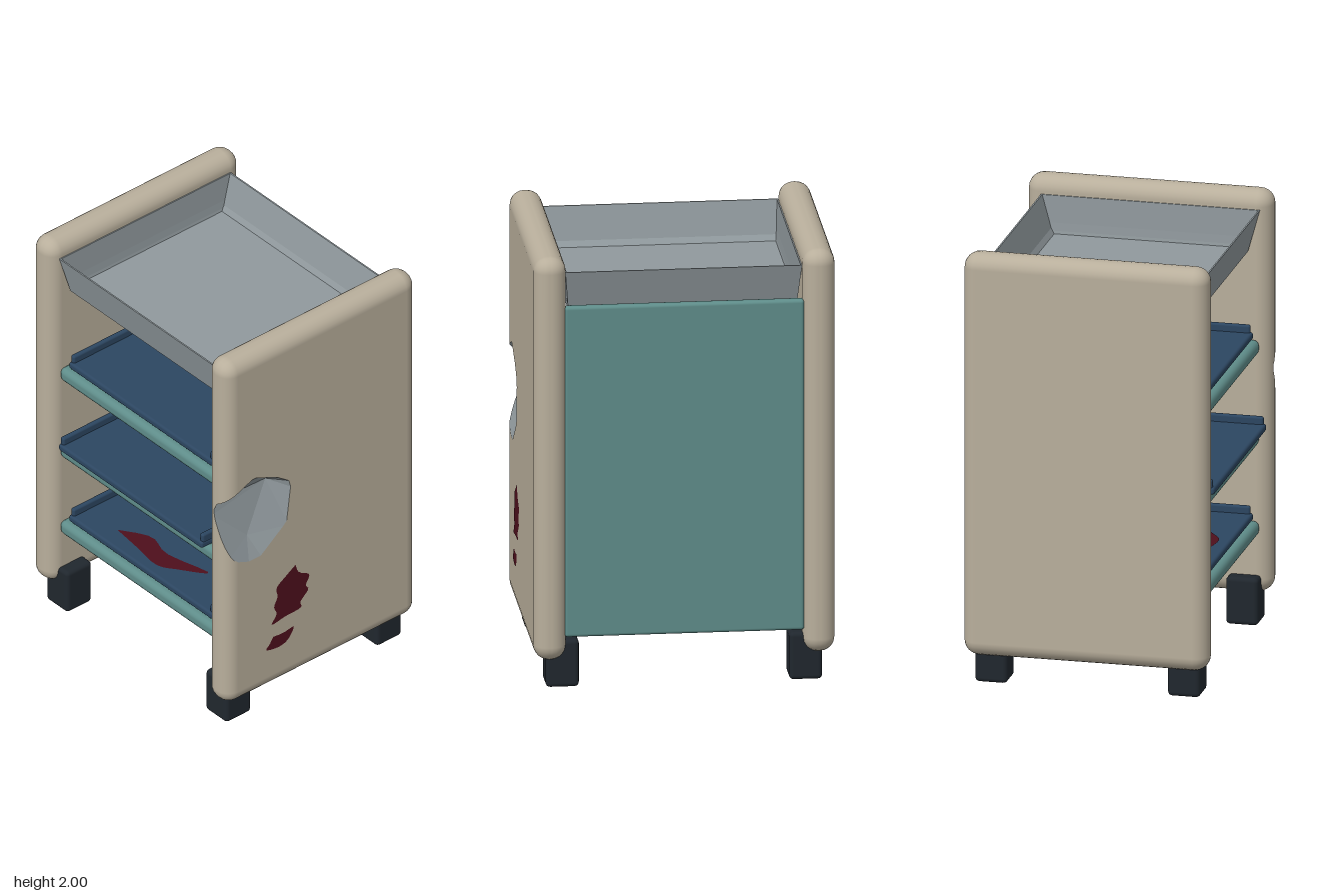
import * as THREE from 'three';
import { RoundedBoxGeometry } from 'three/addons/geometries/RoundedBoxGeometry.js';
import { ConvexGeometry } from 'three/addons/geometries/ConvexGeometry.js';

const mat = (color, extra = {}) => new THREE.MeshStandardMaterial({ color, ...extra });
const V = (x, y, z) => new THREE.Vector3(x, y, z);

// Polygon of {p, n} corners kept on one side of a plane
function clip(poly, plane, side) {
  const out = [];
  poly.forEach((a, i) => {
    const b = poly[(i + 1) % poly.length];
    const da = side * plane.distanceToPoint(a.p), db = side * plane.distanceToPoint(b.p);
    if (da >= 0) out.push(a);
    if ((da > 0 && db < 0) || (da < 0 && db > 0)) {
      const t = da / (da - db);
      out.push({ p: a.p.clone().lerp(b.p, t), n: a.n.clone().lerp(b.n, t).normalize() });
    }
  });
  return out;
}

function triangles(geometry) {
  const g = geometry.index ? geometry.toNonIndexed() : geometry;
  const { position, normal } = g.attributes, list = [];
  for (let i = 0; i < position.count; i += 3) {
    const tri = [0, 1, 2].map((k) => ({
      p: new THREE.Vector3().fromBufferAttribute(position, i + k),
      n: new THREE.Vector3().fromBufferAttribute(normal, i + k),
    }));
    const t = new THREE.Triangle(tri[0].p, tri[1].p, tri[2].p);
    if (t.getArea() < 1e-9) continue;
    const plane = t.getPlane(new THREE.Plane());
    list.push({ tri, plane });
  }
  return list;
}

function fromPolygons(polys) {
  const pos = [], nor = [];
  for (const poly of polys) {
    for (let i = 1; i + 1 < poly.length; i++) {
      for (const c of [poly[0], poly[i], poly[i + 1]]) {
        pos.push(...c.p.toArray());
        nor.push(...c.n.toArray());
      }
    }
  }
  const g = new THREE.BufferGeometry();
  g.setAttribute('position', new THREE.Float32BufferAttribute(pos, 3));
  g.setAttribute('normal', new THREE.Float32BufferAttribute(nor, 3));
  return g;
}

// Cut one convex solid out of another: the remaining skin and the cavity walls
function carve(solid, cutter) {
  const S = triangles(solid), C = triangles(cutter), skin = [], cavity = [];
  for (const { tri } of S) {
    let rest = tri;
    for (const { plane } of C) {
      const outer = clip(rest, plane, 1);
      if (outer.length > 2) skin.push(outer);
      rest = clip(rest, plane, -1);
      if (rest.length < 3) break;
    }
  }
  for (const { tri, plane } of C) {
    const n = plane.normal.clone().negate();
    let poly = tri.map(({ p }) => ({ p, n })).reverse();
    for (const s of S) {
      poly = clip(poly, s.plane, -1);
      if (poly.length < 3) break;
    }
    if (poly.length > 2) cavity.push(poly);
  }
  return [fromPolygons(skin), fromPolygons(cavity)];
}

function blot(points) {
  const pts = points.map(([u, v]) => new THREE.Vector2(u, v));
  const shape = new THREE.Shape().moveTo(pts[0].x, pts[0].y);
  shape.splineThru([...pts.slice(1), pts[0].clone()]);
  return new THREE.ShapeGeometry(shape, 3);
}

// Open pan with sloping walls, built from rectangular loops
function panGeometry() {
  // half width, back z, front z, height
  const loops = [
    [0.51, -0.44, 0.46, 1.73], [0.528, -0.49, 0.51, 1.92],
    [0.522, -0.483, 0.503, 1.92], [0.515, -0.44, 0.46, 1.77], [0.51, -0.425, 0.44, 1.745],
  ];
  const ring = loops.map(([w, b, f, y]) => [V(-w, y, f), V(w, y, f), V(w, y, b), V(-w, y, b)]);
  const pos = [];
  const quad = (a, b, c, d) => [a, b, c, a, c, d].forEach((p) => pos.push(p.x, p.y, p.z));
  for (let i = 0; i + 1 < ring.length; i++) {
    for (let k = 0; k < 4; k++) {
      const m = (k + 1) % 4;
      quad(ring[i][k], ring[i][m], ring[i + 1][m], ring[i + 1][k]);
    }
  }
  quad(...ring[4]);
  quad(...[...ring[0]].reverse());
  const g = new THREE.BufferGeometry();
  g.setAttribute('position', new THREE.Float32BufferAttribute(pos, 3));
  g.computeVertexNormals();
  return g;
}

export function createModel() {
  const root = new THREE.Group();
  root.name = 'serviceCart';
  const beige = mat(0xb9af9c), teal = mat(0x5f8d8a), navy = mat(0x2c4661), dark = mat(0x20272e);
  const grey = mat(0x90999d, { side: THREE.DoubleSide });
  const red = mat(0x4e0f1c, { side: THREE.DoubleSide });

  const add = (name, geometry, material, parent = root) => {
    const mesh = new THREE.Mesh(geometry, material);
    mesh.name = name;
    parent.add(mesh);
    return mesh;
  };
  const box = (name, material, [w, h, d], [x, y, z], r, parent = root) => {
    const mesh = add(name, new RoundedBoxGeometry(w, h, d, 2, r), material, parent);
    mesh.position.set(x, y, z);
    return mesh;
  };

  // Side panels, the left one broken open at its front edge
  const panel = new RoundedBoxGeometry(0.145, 1.87, 1.12, 3, 0.068);
  add('rightPanel', panel.clone().translate(-0.6, 1.065, 0), beige);
  const breach = new ConvexGeometry([
    V(0.58, 1.22, 0.54), V(0.585, 1.16, 0.57), V(0.59, 1.22, 0.265), V(0.622, 0.99, 0.4),
    ...[[1.335, 0.4], [1.275, 0.265], [1.22, 0.19], [1.18, 0.18], [0.985, 0.205], [0.87, 0.355],
      [0.87, 0.435], [0.93, 0.58], [1.05, 0.66], [1.24, 0.62]].map(([y, z]) => V(0.68, y, z)),
  ]);
  const [skin, cavity] = carve(panel.clone().translate(0.6, 1.065, 0), breach);
  add('leftPanel', skin, beige);
  add('brokenCavity', cavity, grey);

  // Back panel and shelves
  box('backPanel', teal, [1.07, 1.535, 0.045], [0, 1.0025, -0.505], 0.015);
  const shelves = [[0.442, 0], [0.862, 0.06], [1.284, 0]];
  shelves.forEach(([y, slide]) => {
    box('shelf', teal, [1.07, 0.07, 1.01], [0, y, 0.005], 0.028);
    // Shallow tray, raised at the sides and back
    const tray = new THREE.Group();
    tray.name = 'tray';
    tray.position.set(0, y + 0.046, slide);
    root.add(tray);
    box('trayBase', navy, [0.98, 0.035, 0.94], [0, 0.0175, 0.02], 0.012, tray);
    for (const s of [-1, 1]) {
      box('traySideRim', navy, [0.025, 0.05, 0.92], [s * 0.475, 0.045, 0.02], 0.01, tray);
    }
    box('trayBackRim', navy, [0.97, 0.05, 0.025], [0, 0.045, -0.428], 0.01, tray);
  });

  // Top pan
  add('topPan', panGeometry(), grey);

  // Block feet
  for (const x of [-0.543, 0.543]) {
    for (const z of [-0.44, 0.44]) box('foot', dark, [0.148, 0.22, 0.148], [x, 0.11, z], 0.02);
  }

  // Stains on the left panel
  const stains = [
    [[-0.16, 0.74], [-0.14, 0.69], [-0.08, 0.65], [-0.1, 0.6], [-0.085, 0.57], [-0.13, 0.525],
      [-0.13, 0.49], [-0.22, 0.485], [-0.3, 0.475], [-0.27, 0.52], [-0.285, 0.565], [-0.265, 0.615],
      [-0.27, 0.665], [-0.215, 0.705]],
    [[-0.29, 0.405], [-0.23, 0.4], [-0.17, 0.405], [-0.205, 0.35], [-0.26, 0.335], [-0.33, 0.35], [-0.31, 0.375]],
  ];
  for (const s of stains) {
    const m = add('panelStain', blot(s), red);
    m.rotation.y = Math.PI / 2;
    m.position.x = 0.6745;
  }
  // Stain in the lowest tray
  const spill = add('trayStain', blot([[-0.26, -0.4], [-0.12, -0.32], [0.02, -0.35], [0.25, -0.3],
    [0.14, -0.39], [0.05, -0.44], [-0.1, -0.42]]), red);
  spill.rotation.x = -Math.PI / 2;
  spill.position.y = 0.526;
  return root;
}
